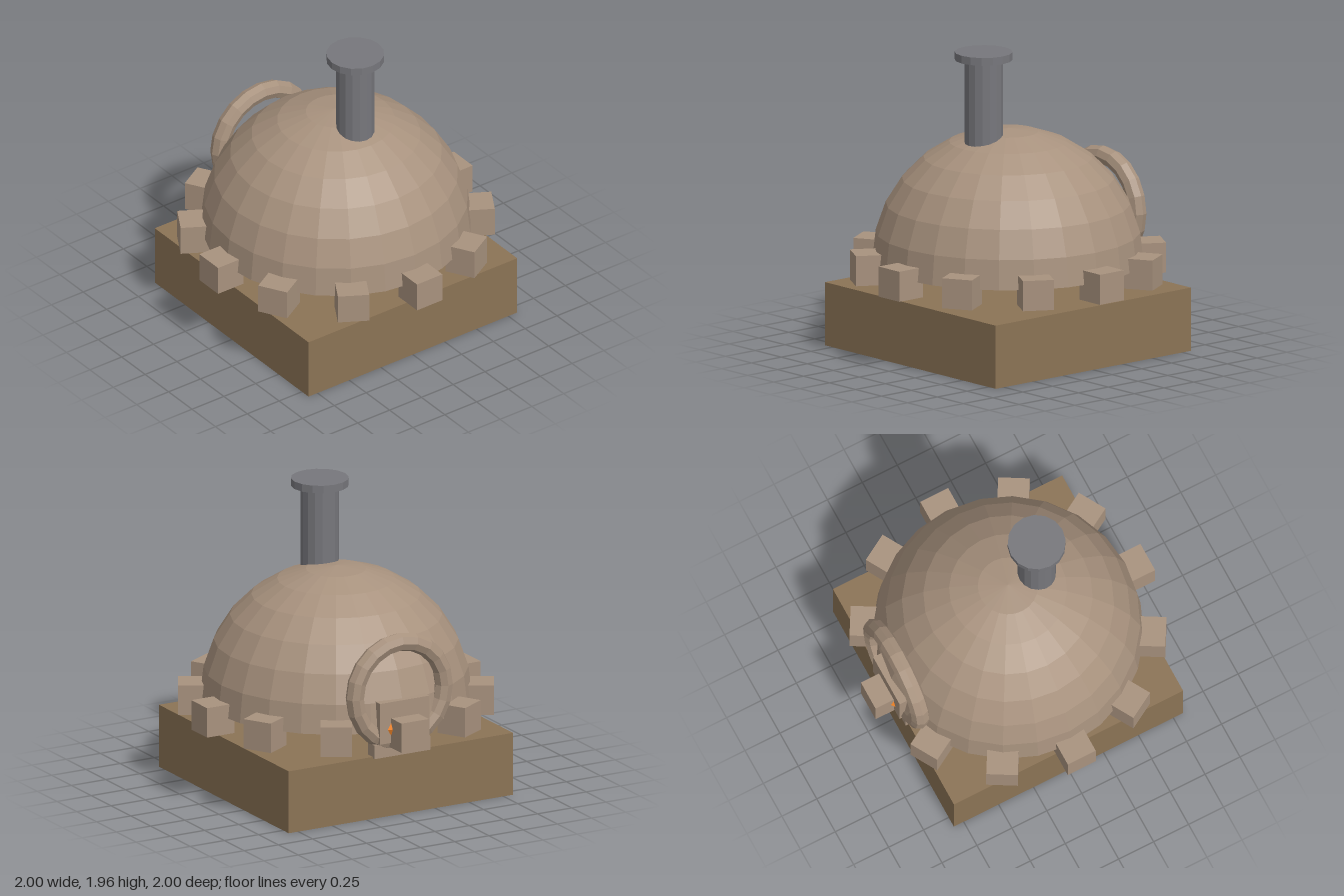
import * as THREE from 'three';

const mat = (color, side = THREE.FrontSide) =>
  new THREE.MeshStandardMaterial({ color, flatShading: true, side });

export function createModel() {
  const group = new THREE.Group();
  const stone = mat(0xa8927e);
  const shell = mat(0xa8927e, THREE.DoubleSide);
  const wood = mat(0x8b7355);
  const metal = mat(0x77777c);
  const ember = mat(0xff8c2a);

  const add = (name, geometry, material, x, y, z) => {
    const mesh = new THREE.Mesh(geometry, material);
    mesh.name = name;
    mesh.position.set(x, y, z);
    group.add(mesh);
    return mesh;
  };

  // Square plinth
  add('base', new THREE.BoxGeometry(1.64, 0.41, 1.64), wood, 0, 0.205, 0);

  // Open half-sphere oven shell
  add('dome', new THREE.SphereGeometry(0.86, 24, 7, 0, Math.PI * 2, 0, Math.PI / 2), shell, 0, 0.57, 0);

  // Ring of stone blocks round the rim
  const block = new THREE.BoxGeometry(0.2, 0.195, 0.2);
  for (let i = 0; i < 12; i++) {
    const a = (i / 12) * Math.PI * 2;
    add('rimBlock', block, stone, Math.sin(a) * 0.9, 0.565, Math.cos(a) * 0.9).rotation.y = a;
  }

  // Oven mouth at the back: ring, firebox, sill and glowing embers
  add('mouthRing', new THREE.TorusGeometry(0.325, 0.06, 8, 20), stone, 0, 0.81, -0.8);
  add('firebox', new THREE.BoxGeometry(0.36, 0.27, 0.28), stone, 0, 0.635, -0.73);
  add('sill', new THREE.BoxGeometry(0.41, 0.09, 0.08), stone, 0, 0.445, -0.8);
  add('embers', new THREE.SphereGeometry(0.2, 12, 8), ember, 0, 0.59, -0.74).scale.set(1, 0.5, 0.87);

  // Chimney pipe and its cap
  add('chimney', new THREE.CylinderGeometry(0.122, 0.122, 0.6, 16), metal, 0, 1.6, 0.205);
  add('chimneyCap', new THREE.CylinderGeometry(0.184, 0.184, 0.05, 16), metal, 0, 1.93, 0.205);

  return group;
}
